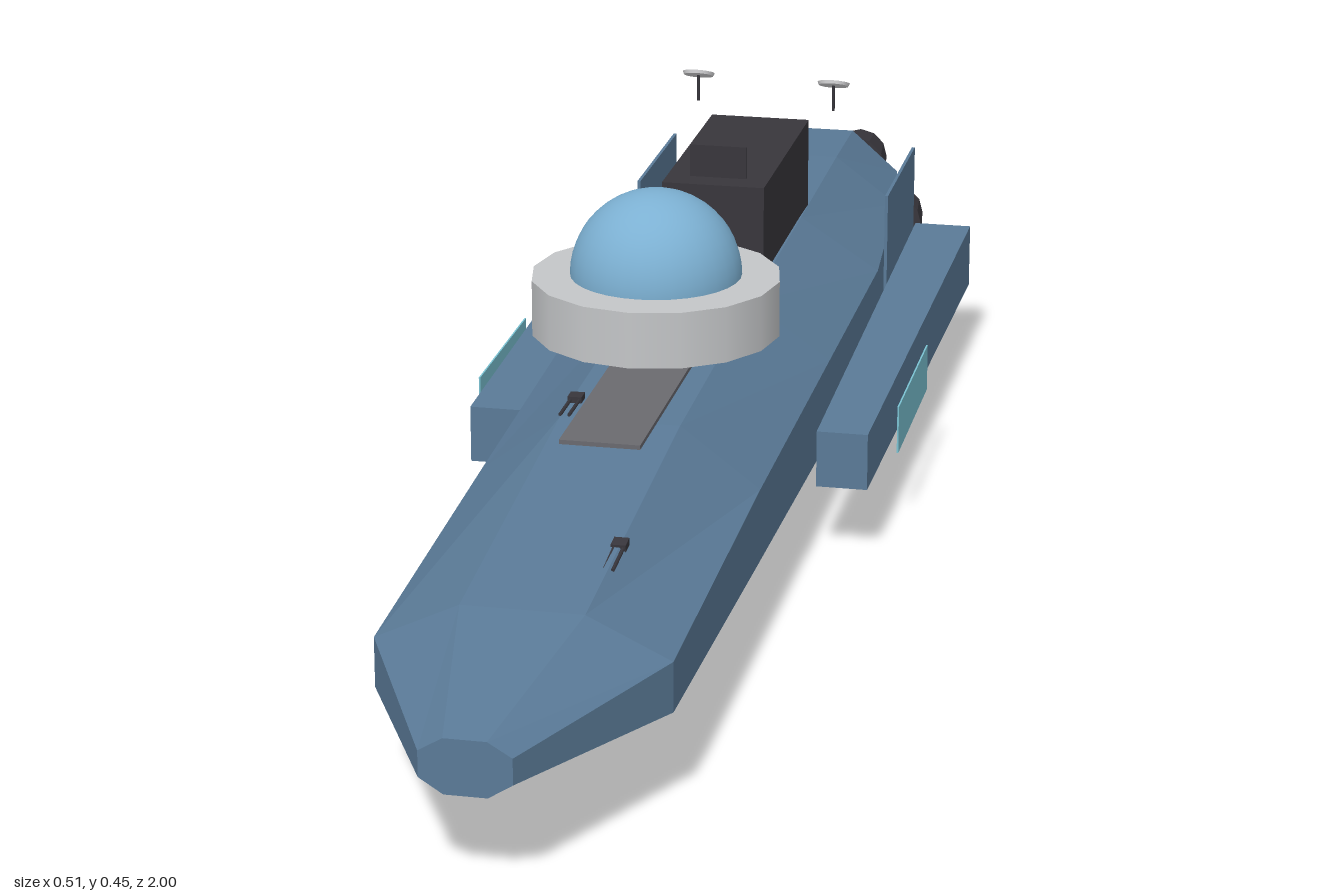
import * as THREE from 'three';

const mat = (name, color, side = THREE.FrontSide) => {
  const m = new THREE.MeshStandardMaterial({ color, side });
  m.name = name;
  return m;
};

// Flat facets: unshared vertices with face normals
function faceted(geo) {
  const g = geo.index ? geo.toNonIndexed() : geo;
  g.computeVertexNormals();
  return g;
}

// Skin over equal-sized rings [x, y], counter-clockwise seen from +z, z ascending
function loft(sections) {
  const n = sections[0].ring.length;
  const pos = sections.flatMap(s => s.ring.flatMap(([x, y]) => [x, y, s.z]));
  const idx = [];
  for (let s = 0; s < sections.length - 1; s++) {
    for (let i = 0; i < n; i++) {
      const a = s * n + i, b = s * n + (i + 1) % n;
      idx.push(a, b, b + n, a, b + n, a + n);
    }
  }
  const last = (sections.length - 1) * n;
  for (let i = 1; i < n - 1; i++) idx.push(last, last + i, last + i + 1, 0, i + 1, i);
  const g = new THREE.BufferGeometry();
  g.setAttribute('position', new THREE.Float32BufferAttribute(pos, 3));
  g.setIndex(idx);
  return faceted(g);
}

// Octagonal hull rib: half widths of side and deck, then heights from keel to deck
const rib = (z, side, deck, keelY, lowY, highY, deckY) => ({
  z,
  ring: [[side, lowY], [side, highY], [deck, deckY], [-deck, deckY],
    [-side, highY], [-side, lowY], [-deck, keelY], [deck, keelY]],
});
const square = (z, hw, hh) => ({ z, ring: [[hw, -hh], [hw, hh], [-hw, hh], [-hw, -hh]] });

export function createModel() {
  const model = new THREE.Group();
  model.name = 'spaceship';

  const hullBlue = mat('hull blue', 0x5a7a97);
  const domeBlue = mat('dome blue', 0x7cb0d2);
  const glow = mat('glowing cyan', 0x7ac2d2, THREE.DoubleSide);
  const ringGrey = mat('light grey', 0xc4c6c8);
  const deckGrey = mat('runway grey', 0x6a6a6f);
  const black = mat('charcoal', 0x38363c);
  const dishWhite = mat('dish white', 0xdcdcde);

  const add = (name, geo, material, x = 0, y = 0, z = 0, parent = model) => {
    const m = new THREE.Mesh(geo, material);
    m.name = name;
    m.position.set(x, y, z);
    parent.add(m);
    return m;
  };
  const box = (w, h, d) => new THREE.BoxGeometry(w, h, d);

  // Hull
  add('hull', loft([
    rib(-0.93, 0.115, 0.052, 0.035, 0.09, 0.175, 0.23),
    rib(-0.76, 0.14, 0.058, 0.023, 0.085, 0.18, 0.241),
    rib(-0.45, 0.165, 0.065, 0.012, 0.08, 0.185, 0.25),
    rib(-0.1, 0.163, 0.067, 0.016, 0.082, 0.183, 0.25),
    rib(0.32, 0.158, 0.068, 0.028, 0.09, 0.175, 0.243),
    rib(0.77, 0.155, 0.065, 0.062, 0.105, 0.16, 0.203),
    rib(1, 0.047, 0.022, 0.104, 0.12, 0.148, 0.163),
  ]), hullBlue);

  // Side pods with window strips, and upright fins
  for (const s of [-1, 1]) {
    const side = s > 0 ? 'left' : 'right';
    add(side + 'Pod', loft([square(-0.74, 0.037, 0.041), square(0.068, 0.03, 0.034)]),
      hullBlue, s * 0.207, 0.12, 0);
    add(side + 'PodWindow', box(0.002, 0.058, 0.23), glow, s * 0.255, 0.121, -0.16);
    add(side + 'Fin', box(0.004, 0.262, 0.23), hullBlue, s * 0.163, 0.131, -0.64);
  }

  // Command ring and dome
  add('ring', new THREE.CylinderGeometry(0.143, 0.143, 0.065, 16), ringGrey, 0, 0.3205, 0.128);
  add('dome', new THREE.SphereGeometry(0.098, 32, 12, 0, Math.PI * 2, 0, Math.PI / 2),
    domeBlue, 0, 0.354, 0.128);

  // Runway deck
  add('runway', box(0.09, 0.005, 0.38), deckGrey, 0, 0.252, 0.23);

  // Superstructure block with upright panel
  add('superstructure', box(0.126, 0.116, 0.31), black, 0, 0.304, -0.355);
  add('sensorPanel', box(0.07, 0.04, 0.004), black, 0, 0.382, -0.235);

  // Dish antennas on short masts, tilted up and aft
  for (const [x, z] of [[-0.092, -0.565], [0.088, -0.55]]) {
    const antenna = new THREE.Group();
    antenna.name = 'antenna';
    antenna.position.set(x, 0.4, z);
    add('mast', new THREE.CylinderGeometry(0.002, 0.002, 0.035, 6), black, 0, -0.018, 0, antenna);
    const dish = add('dish', new THREE.CylinderGeometry(0.021, 0.019, 0.004, 16),
      dishWhite, 0, 0, 0, antenna);
    dish.rotation.x = -0.42;
    model.add(antenna);
  }

  // Small twin-barrel deck guns
  for (const [x, y, z, pitch] of [[-0.062, 0.246, 0.265, 0], [0.065, 0.215, 0.61, 0.1], [0.066, 0.25, -0.1, 0]]) {
    const gun = new THREE.Group();
    gun.name = 'gun';
    gun.position.set(x, y, z);
    gun.rotation.x = pitch;
    add('gunBase', box(0.016, 0.01, 0.018), black, 0, 0, 0, gun);
    for (const s of [-1, 1]) {
      const barrel = add('gunBarrel', new THREE.CylinderGeometry(0.002, 0.002, 0.05, 6),
        black, s * 0.005, 0.001, 0.032, gun);
      barrel.rotation.x = Math.PI / 2;
    }
    model.add(gun);
  }

  // Five engine nozzles: two above, three below
  const nozzle = faceted(new THREE.CylinderGeometry(0.046, 0.037, 0.069, 12).rotateX(Math.PI / 2));
  const exhaust = new THREE.CircleGeometry(0.034, 12).rotateY(Math.PI);
  for (const [x, y] of [[-0.0525, 0.176], [0.0525, 0.176], [-0.105, 0.097], [0, 0.097], [0.105, 0.097]]) {
    add('nozzle', nozzle, black, x, y, -0.9645);
    add('exhaust', exhaust, glow, x, y, -1);
  }
  return model;
}
